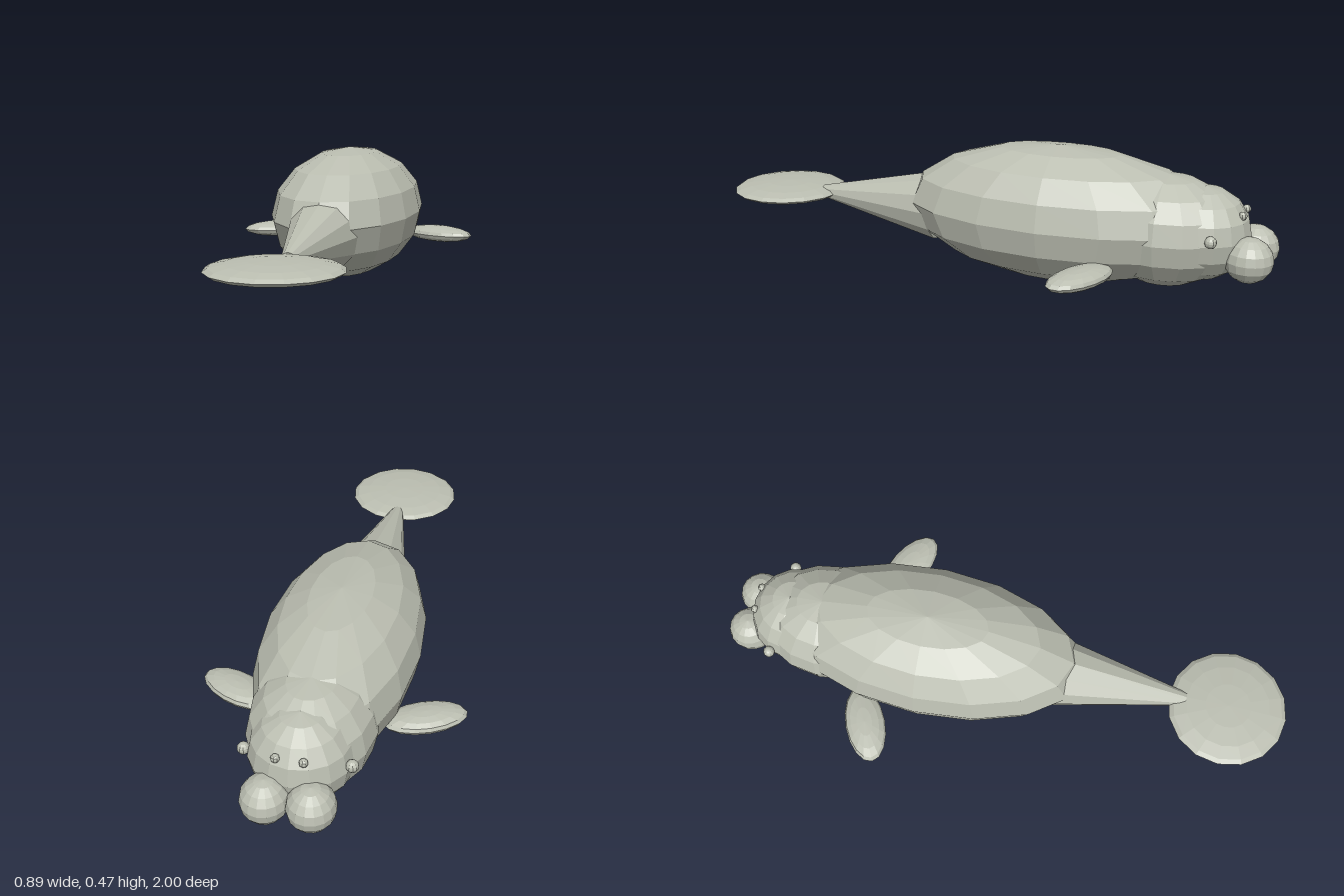
import * as THREE from 'three';

export function createModel() {
  const group = new THREE.Group();
  const hide = new THREE.MeshStandardMaterial({ color: 0xbbbeb1, flatShading: true });
  hide.name = 'greyHide';

  function add(name, geometry, [x, y, z]) {
    const mesh = new THREE.Mesh(geometry, hide);
    mesh.name = name;
    mesh.position.set(x, y, z);
    group.add(mesh);
    return mesh;
  }

  // Faceted ellipsoid with its poles on the y axis
  function ellipsoid(name, position, radii, segments = 16, rings = 8) {
    const geometry = new THREE.SphereGeometry(1, segments, rings).scale(...radii);
    return add(name, geometry, position);
  }

  // Torso, neck and head; the animal looks towards -z
  ellipsoid('body', [0, 0.235, -0.265], [0.264, 0.234, 0.55]);
  ellipsoid('neck', [0, 0.217, -0.635], [0.203, 0.188, 0.25]);
  ellipsoid('head', [0, 0.221, -0.762], [0.165, 0.156, 0.155]);

  // Tapered tail stock and round paddle
  const stock = new THREE.CylinderGeometry(0.023, 0.125, 0.468, 12).rotateX(Math.PI / 2);
  add('tailStock', stock, [0, 0.206, 0.414]);
  ellipsoid('tailPaddle', [0, 0.205, 0.794], [0.206, 0.028, 0.206]);

  // Mirrored pairs
  for (const side of [1, -1]) {
    const flipper = ellipsoid('flipper', [side * 0.315, 0.127, -0.435], [0.14, 0.03, 0.07]);
    flipper.rotation.y = -side * 0.44; // tips swept back
    ellipsoid('muzzleLobe', [side * 0.07, 0.167, -0.921], [0.076, 0.075, 0.079]);
    ellipsoid('eye', [side * 0.165, 0.243, -0.812], [0.02, 0.02, 0.02], 10, 8);
    ellipsoid('nostril', [side * 0.042, 0.302, -0.889], [0.014, 0.014, 0.014], 8, 6);
  }

  return group;
}
